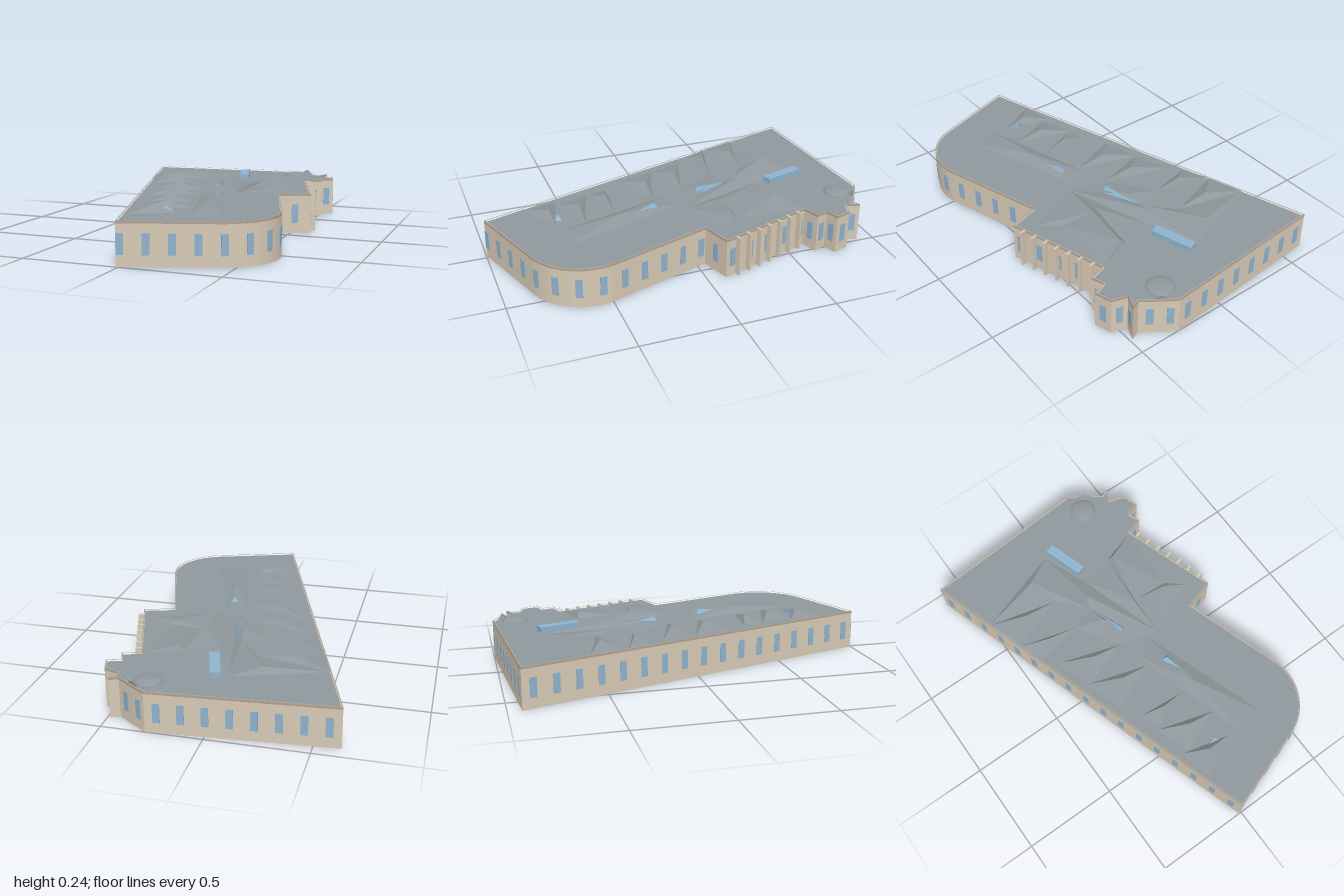
import * as THREE from 'three';

const ROOF_Y = 0.205, RIM_Y = 0.212, PEAK_Y = 0.236;
const mat = (color, extra = {}) => new THREE.MeshStandardMaterial({ color, ...extra });
const wallMat = mat(0xd8cab5);
const rimMat = mat(0xb0a494);
const glassMat = mat(0x8db4d0);
const roofMat = mat(0x8f989d);
const foldMat = mat(0x8f989d, { flatShading: true, side: THREE.DoubleSide });
const skylightMat = mat(0x8db4d0, { flatShading: true, side: THREE.DoubleSide });

// Footprint as [x, z], clockwise seen from above
const rounded = [];
for (let i = 0; i <= 16; i++) {
  const a = -0.315 + (i / 16) * Math.PI / 2;
  rounded.push([0.335 + 0.29 * Math.cos(a), 0.571 + 0.29 * Math.sin(a)]);
}
const tip = [-0.015, 0.995];
const notch = [0.44, -0.045];
const finStart = [0.43, -0.61], finEnd = [0.6, -0.095];
const steps = [[0.28, -1], [0.35, -0.955], [0.44, -0.89], [0.485, -0.91], [0.46, -0.84], [0.54, -0.815],
  [0.568, -0.73], [0.495, -0.705], [0.52, -0.64], finStart];
const outline = [[-0.63, -0.93], ...steps, finEnd, notch, ...rounded, tip];

// Mitred inward offset of a closed polygon
function inset(pts, d) {
  const n = pts.length;
  return pts.map((p, i) => {
    const a = pts[(i + n - 1) % n], b = pts[(i + 1) % n];
    const l1 = Math.hypot(p[0] - a[0], p[1] - a[1]), l2 = Math.hypot(b[0] - p[0], b[1] - p[1]);
    const n1 = [-(p[1] - a[1]) / l1, (p[0] - a[0]) / l1];
    const n2 = [-(b[1] - p[1]) / l2, (b[0] - p[0]) / l2];
    const k = d / (1 + n1[0] * n2[0] + n1[1] * n2[1]);
    return [p[0] + (n1[0] + n2[0]) * k, p[1] + (n1[1] + n2[1]) * k];
  });
}

const toVecs = pts => pts.map(([x, z]) => new THREE.Vector2(x, -z));

// Upright prism from a footprint, optionally with a hole
function prism(pts, y0, y1, hole) {
  const shape = new THREE.Shape(toVecs(pts));
  if (hole) shape.holes.push(new THREE.Path(toVecs(hole)));
  const g = new THREE.ExtrudeGeometry(shape, { depth: y1 - y0, bevelEnabled: false });
  return g.rotateX(-Math.PI / 2).translate(0, y0, 0);
}

// Shallow faceted pyramid over a roof polygon
function pyramid(pts, [ax, az], h = PEAK_Y) {
  const v = [];
  pts.forEach((p, i) => {
    const q = pts[(i + 1) % pts.length];
    v.push(p[0], ROOF_Y, p[1], ax, h, az, q[0], ROOF_Y, q[1]);
  });
  const g = new THREE.BufferGeometry();
  g.setAttribute('position', new THREE.Float32BufferAttribute(v, 3));
  g.computeVertexNormals();
  return g;
}

export function createModel() {
  const model = new THREE.Group();
  const add = (name, geo, material, parent = model) => {
    const m = new THREE.Mesh(geo, material);
    m.name = name;
    parent.add(m);
    return m;
  };
  const group = name => {
    const g = new THREE.Group();
    g.name = name;
    model.add(g);
    return g;
  };

  // Walls, rim and flat roof
  const inner = inset(outline, 0.007);
  add('walls', prism(outline, 0, 0.2), wallMat);
  add('roofRim', prism(outline, 0.2, RIM_Y, inner), rimMat);
  add('roof', prism(inner, 0.2, ROOF_Y), roofMat);

  // Windows at an even spacing along a wall line
  const windows = group('windows');
  const pane = new THREE.BoxGeometry(0.035, 0.1, 0.006);
  function windowRun(pts, first, step) {
    let next = first, done = 0;
    for (let i = 0; i + 1 < pts.length; i++) {
      const [x, z] = pts[i], dx = pts[i + 1][0] - x, dz = pts[i + 1][1] - z;
      const len = Math.hypot(dx, dz);
      for (; next < done + len; next += step) {
        const t = (next - done) / len;
        const w = add('window', pane, glassMat, windows);
        w.position.set(x + dx * t, 0.105, z + dz * t);
        w.rotation.y = Math.atan2(-dz, dx);
      }
      done += len;
    }
  }
  function windowWall(a, b) {
    const len = Math.hypot(b[0] - a[0], b[1] - a[1]);
    const step = len / Math.max(1, Math.round(len / 0.12));
    windowRun([a, b], step / 2, step);
  }
  windowWall(tip, outline[0]);
  windowWall(outline[0], outline[1]);
  windowWall(finEnd, notch);
  windowRun([finEnd, finStart], 0.04, 0.119);
  windowRun([tip, ...rounded.slice().reverse(), notch], 0.018, 0.119);
  for (let i = 0; i + 1 < steps.length; i++) {
    if (Math.hypot(steps[i + 1][0] - steps[i][0], steps[i + 1][1] - steps[i][1]) > 0.06) windowWall(steps[i], steps[i + 1]);
  }

  // Upright fins along the stepped side
  const fins = group('fins');
  const finGeo = new THREE.BoxGeometry(0.036, RIM_Y, 0.012);
  for (let i = 0; i < 7; i++) {
    const t = 0.095 + i * 0.13;
    const f = add('fin', finGeo, wallMat, fins);
    f.position.set(finStart[0] + 0.17 * t + 0.01, RIM_Y / 2, finStart[1] + 0.515 * t - 0.003);
    f.rotation.y = 0.32;
  }

  // Folded roof: a row of spikes beside the long wall
  const folds = group('roofFolds');
  const spikes = [
    [[-0.52, -0.59], [-0.46, -0.4], [-0.15, -0.5]],
    [[-0.46, -0.39], [-0.39, -0.26], [-0.16, -0.31]],
    [[-0.34, -0.19], [-0.28, 0], [0, -0.08]],
    [[-0.28, 0], [-0.22, 0.2], [0.04, 0.1]],
    [[-0.15, 0.31], [-0.12, 0.42], [0.09, 0.33]],
    [[-0.13, 0.42], [-0.07, 0.6], [0.17, 0.51]],
    [[-0.1, 0.6], [-0.07, 0.78], [0.15, 0.66]],
  ];
  for (const [a, b, c] of spikes) {
    const apex = [0, 1].map(k => 0.32 * a[k] + 0.2 * b[k] + 0.48 * c[k]);
    add('spike', pyramid([a, b, c], apex), foldMat, folds);
  }
  // Broad low folds in the middle and on the stepped wing
  const broad = [
    [[[-0.52, -0.59], [-0.2, -0.7], [-0.05, -0.75], [-0.02, -0.35], [-0.15, -0.5]], [-0.2, -0.66], 0.23],
    [[[-0.05, -0.75], [0.05, -0.5], [0.2, -0.03], [0.07, -0.15], [-0.02, -0.35]], [0, -0.42], 0.232],
    [[[0.05, -0.5], [0.23, -0.54], [0.21, -0.25], [0.2, -0.03]], [0.2, -0.25], 0.228],
    [[[0.23, -0.54], [0.42, -0.6], [0.4, -0.24], [0.21, -0.25]], [0.26, -0.53], PEAK_Y],
    [[[0.21, -0.25], [0.4, -0.24], [0.5, -0.16], [0.2, -0.03]], [0.38, -0.22], 0.222],
    [[[-0.02, -0.35], [0.07, -0.15], [0.2, -0.03], [0, -0.08], [-0.16, -0.31]], [0, -0.25], 0.224],
    [[[0.03, 0.03], [0.14, -0.02], [0.37, 0.65], [0.23, 0.71]], [0.19, 0.33], 0.232],
  ];
  for (const [pts, apex, h] of broad) add('broadFold', pyramid(pts, apex, h), foldMat, folds);
  add('cornerFold', pyramid([[0.31, -0.97], [0.39, -0.92], [0.34, -0.93]], [0.355, -0.945], 0.232), foldMat, folds);

  // Skylights
  const skylights = group('skylights');
  add('barSkylight', prism([[-0.025, -0.77], [0.025, -0.785], [0.09, -0.57], [0.04, -0.555]], ROOF_Y, 0.234), glassMat, skylights);
  add('wedgeSkylight', pyramid([[-0.015, -0.35], [0.07, -0.15], [0.03, -0.13]], [0.05, -0.145], 0.239), skylightMat, skylights);
  add('wedgeSkylight', pyramid([[0.11, 0.12], [0.16, 0.1], [0.21, 0.35]], [0.145, 0.13], 0.239), skylightMat, skylights);
  add('wedgeSkylight', pyramid([[0.035, 0.645], [0.11, 0.615], [0.1, 0.65]], [0.08, 0.63], 0.232), skylightMat, skylights);

  // Low round dome
  const dome = add('dome', new THREE.SphereGeometry(0.07, 32, 10, 0, Math.PI * 2, 0, Math.PI / 2), roofMat);
  dome.scale.y = 0.25;
  dome.position.set(0.295, ROOF_Y, -0.875);

  return model;
}
